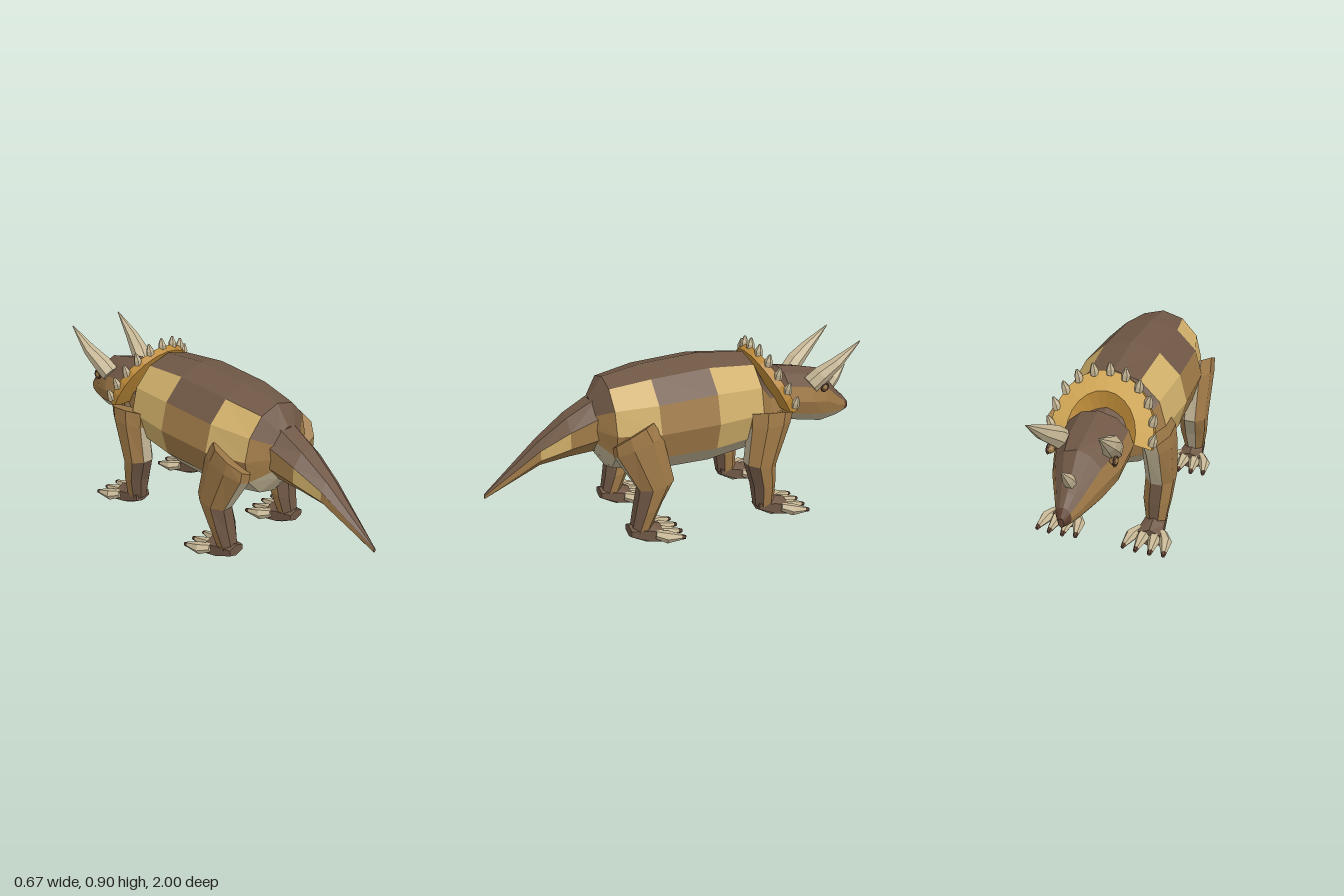
import * as THREE from 'three';

const V = (x, y, z) => new THREE.Vector3(x, y, z);
const mat = (name, color) => {
  const m = new THREE.MeshStandardMaterial({ color, flatShading: true });
  m.name = name;
  return m;
};
const BROWN = mat('back brown', 0x6f5745);
const OCHRE = mat('flank ochre', 0xa07a48);
const SAND = mat('patch sand', 0xcfae69);
const BELLY = mat('belly bone', 0xc0b394);
const HORN = mat('horn bone', 0xc8b896);
const GOLD = mat('frill gold', 0xd6ab58);
const AMBER = mat('frill amber', 0xbd8a38);
const DARK = mat('dark brown', 0x5e4030);

// Ring of n points: c + u cos + v sin
const ring = (c, u, v, n, phase = 0) => Array.from({ length: n }, (_, i) => {
  const a = phase + (i / n) * Math.PI * 2;
  return c.clone().addScaledVector(u, Math.cos(a)).addScaledVector(v, Math.sin(a));
});

// Skin a list of rings; paint(segment, facet) picks the material
function loft(name, rings, paint, capMat) {
  const byMat = new Map();
  let volume = 0;
  const tri = (m, a, b, c) => {
    if (!byMat.has(m)) byMat.set(m, []);
    byMat.get(m).push([a, b, c]);
    volume += a.dot(b.clone().cross(c));
  };
  const n = rings[0].length, last = rings.length - 1;
  for (let s = 0; s < last; s++) {
    for (let i = 0; i < n; i++) {
      const j = (i + 1) % n, m = paint(s, i);
      tri(m, rings[s][i], rings[s][j], rings[s + 1][j]);
      tri(m, rings[s][i], rings[s + 1][j], rings[s + 1][i]);
    }
  }
  for (let i = 1; i < n - 1; i++) {
    tri(capMat || paint(0, 0), rings[0][0], rings[0][i + 1], rings[0][i]);
    tri(capMat || paint(last - 1, 0), rings[last][0], rings[last][i], rings[last][i + 1]);
  }
  // Keep faces outward whichever way the rings run
  const pts = [], geo = new THREE.BufferGeometry(), mats = [];
  for (const [m, tris] of byMat) {
    geo.addGroup(pts.length, tris.length * 3, mats.length);
    mats.push(m);
    for (const [a, b, c] of tris) pts.push(...(volume > 0 ? [a, b, c] : [a, c, b]));
  }
  geo.setFromPoints(pts);
  geo.computeVertexNormals();
  const mesh = new THREE.Mesh(geo, mats);
  mesh.name = name;
  return mesh;
}

// Tapered spike through [x, y, z, radius] points
function spike(name, pts, n, paint) {
  const p = pts.map(q => V(q[0], q[1], q[2]));
  const dir = p[p.length - 1].clone().sub(p[0]).normalize();
  const u = V(1, 0, 0).addScaledVector(dir, -dir.x).normalize();
  const v = dir.clone().cross(u);
  return loft(name, p.map((c, i) => ring(c, u.clone().multiplyScalar(pts[i][3]),
    v.clone().multiplyScalar(pts[i][3]), n)), paint);
}

// Upright ring from [z, bottom, top, half width], counted from the top
const slice = ([z, lo, hi, rx], n, phase) =>
  ring(V(0, (lo + hi) / 2, z), V(0, (hi - lo) / 2, 0), V(rx, 0, 0), n, phase);
const ROWS = [BROWN, BROWN, OCHRE, OCHRE, BELLY, BELLY];
const row = i => Math.min(i, 11 - i);

function leg(s, front) {
  const g = new THREE.Group();
  g.name = (s > 0 ? 'left' : 'right') + (front ? 'FrontLeg' : 'HindLeg');
  // Limb rings from top to ankle: [centre], outward axis, backward axis
  const defs = front ? [
    [[0.225, 0.58, -0.395], [0.072, 0.03, 0], [0, 0.012, 0.115]],
    [[0.232, 0.52, -0.387], [0.072, 0.02, 0], [0, 0, 0.109]],
    [[0.23, 0.32, -0.345], [0.07, 0, 0], [0, 0.01, 0.08]],
    [[0.222, 0.2, -0.37], [0.066, 0, 0], [0, 0, 0.062]],
    [[0.22, 0.07, -0.38], [0.046, 0, 0], [0, 0.01, 0.052]],
  ] : [
    [[0.225, 0.585, 0.33], [0.07, 0.04, 0], [0, -0.045, 0.095]],
    [[0.23, 0.525, 0.305], [0.07, 0.03, 0], [0, -0.035, 0.115]],
    [[0.23, 0.32, 0.225], [0.069, 0, 0], [0, -0.015, 0.09]],
    [[0.222, 0.2, 0.265], [0.066, 0, 0], [0, -0.02, 0.07]],
    [[0.22, 0.07, 0.305], [0.046, 0, 0], [0, -0.01, 0.052]],
  ];
  const rings = defs.map(([c, u, v]) => ring(V(c[0] * s, c[1], c[2]),
    V(u[0] * s * 1.06, u[1], u[2]), V(...v).multiplyScalar(1.06), 8, -Math.PI / 8));
  // Facets run outer, back, inner, front
  const upper = [OCHRE, OCHRE, BELLY, BELLY, OCHRE, BELLY, BELLY, OCHRE];
  const shin = front ? BROWN : BELLY;
  const lower = [OCHRE, BROWN, BROWN, BROWN, OCHRE, OCHRE, shin, OCHRE];
  g.add(loft('limb', rings, (seg, i) => {
    if (seg > 1) return lower[i];
    return seg === 0 && i < 4 ? OCHRE : upper[i];
  }, OCHRE));

  // Foot wedge
  const dz = front ? -0.7 : 0, X = x => x * s;
  const pad = (y, z, rx, ry) => ring(V(X(0.22), y, z + dz), V(0, ry, 0), V(rx, 0, 0), 6);
  g.add(loft('foot', [pad(0.085, 0.362, 0.05, 0.03), pad(0.06, 0.27, 0.062, 0.058),
    pad(0.047, 0.2, 0.078, 0.047)], (seg, i) => (i === 2 || i === 3 ? BELLY : BROWN), BROWN));

  // Splayed claws with small dark tips
  for (const d of [-1, -0.35, 0.35, 1]) {
    const out = Math.abs(d), x0 = 0.22 + d * 0.055;
    g.add(spike('claw', [
      [X(x0), 0.065, 0.24 + dz, 0.022],
      [X(x0 + d * 0.03), 0.054, 0.19 + dz, 0.031],
      [X(x0 + d * 0.043), 0.046, 0.11 + out * 0.012 + dz, 0.014],
      [X(x0 + d * 0.046), 0.042, 0.09 + out * 0.012 + dz, 0.009],
    ], 6, seg => (seg === 2 ? DARK : HORN)));
  }
  return g;
}

function frill() {
  const g = new THREE.Group();
  g.name = 'neckFrill';
  const C = V(0, 0.6, -0.512), U = V(0, 0.88, 0.47), N = V(0, 0.47, -0.88);
  const at = (a, r, d) => C.clone().add(V(Math.cos(a) * 0.242 * r, 0, 0))
    .addScaledVector(U, Math.sin(a) * 0.285 * r).addScaledVector(N, d);
  // Cross-section swept over the arch: back, rim, outer band, inner band
  const section = [[0.35, -0.04], [1, -0.02], [1.01, 0.018], [0.68, 0.03], [0.35, -0.015]];
  const paints = [AMBER, AMBER, GOLD, AMBER, AMBER];
  const arcs = Array.from({ length: 13 }, (_, i) => -0.12 + (i / 12) * (Math.PI + 0.24));
  g.add(loft('frillPlate', arcs.map(a => section.map(([r, d]) => at(a, r, d))),
    (seg, i) => paints[i], AMBER));
  // Row of rim spikes
  for (let i = 0; i <= 10; i++) {
    const a = (i / 10) * Math.PI;
    const b = at(a, 0.99, 0.018), k = Math.cos(a) * 0.016;
    g.add(spike('frillSpike', [
      [b.x, b.y - 0.012, b.z, 0.021],
      [b.x + k * 0.4, b.y + 0.015, b.z, 0.02],
      [b.x + k, b.y + 0.046, b.z - 0.004, 0.006],
    ], 6, () => HORN));
  }
  return g;
}

export function createModel() {
  const model = new THREE.Group();
  model.name = 'hornedDinosaur';

  // Body with sand patches, narrowing to the neck inside the frill
  const body = [[0.47, 0.455, 0.72, 0.1], [0.4, 0.35, 0.815, 0.21], [0.2, 0.312, 0.85, 0.268],
    [-0.1, 0.308, 0.867, 0.276], [-0.35, 0.34, 0.84, 0.25], [-0.43, 0.39, 0.71, 0.19],
    [-0.55, 0.46, 0.66, 0.12]];
  model.add(loft('body', body.map(b => slice(b, 12)), (seg, i) => {
    const r = row(i);
    if (seg === 1 && (r === 1 || r === 2)) return SAND;
    if (seg === 3 && r >= 1 && r <= 3) return SAND;
    return ROWS[r];
  }));

  // Tail, flat on top
  const tail = [[0.43, 0.45, 0.745, 0.12], [0.59, 0.44, 0.655, 0.1],
    [0.73, 0.42, 0.55, 0.066], [1, 0.288, 0.312, 0.007]];
  const TAIL_ROWS = [BROWN, BROWN, OCHRE, OCHRE, BELLY];
  model.add(loft('tail', tail.map(t => slice(t, 8, -Math.PI / 8)), (seg, i) => {
    const r = Math.min(i, 8 - i);
    return seg === 1 && r === 2 ? SAND : TAIL_ROWS[r];
  }));

  // Head, with jaw as the lowest facets
  const head = [[-0.51, 0.47, 0.7, 0.13], [-0.55, 0.45, 0.74, 0.163], [-0.69, 0.42, 0.715, 0.16],
    [-0.8, 0.393, 0.69, 0.122], [-0.92, 0.405, 0.555, 0.06], [-0.97, 0.42, 0.51, 0.036],
    [-1, 0.43, 0.475, 0.014]];
  model.add(loft('head', head.map(h => slice(h, 12)),
    (seg, i) => (seg === 5 ? DARK : ROWS[row(i)])));

  // Nose horn
  model.add(spike('noseHorn', [[0, 0.56, -0.87, 0.03], [0, 0.62, -0.915, 0.026],
    [0, 0.685, -0.97, 0.003]], 6, () => HORN));

  for (const s of [1, -1]) {
    // Brow horns
    model.add(spike('browHorn', [[s * 0.115, 0.65, -0.69, 0.05], [s * 0.13, 0.7, -0.74, 0.048],
      [s * 0.148, 0.76, -0.82, 0.034], [s * 0.156, 0.863, -0.945, 0.003]], 7, () => HORN));
    // Eyes with dark lids
    const eye = new THREE.Mesh(new THREE.IcosahedronGeometry(0.02, 1), OCHRE);
    eye.name = 'eye';
    eye.position.set(s * 0.145, 0.637, -0.755);
    model.add(eye);
    const lid = new THREE.Mesh(new THREE.TorusGeometry(0.02, 0.007, 5, 8), DARK);
    lid.name = 'eyelid';
    lid.position.set(s * 0.152, 0.637, -0.755);
    lid.rotation.y = Math.PI / 2;
    model.add(lid);
    model.add(leg(s, true), leg(s, false));
  }
  model.add(frill());
  return model;
}
